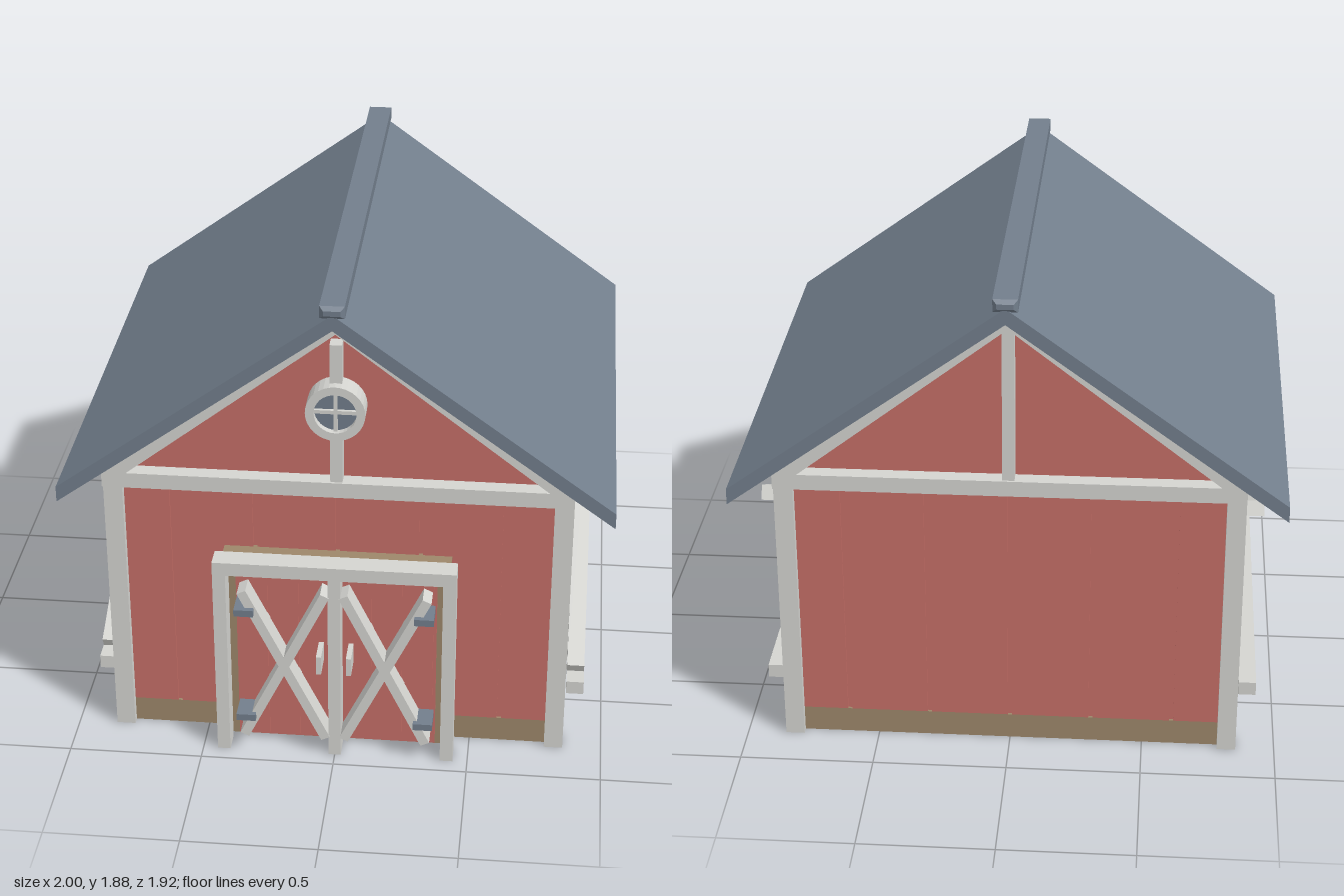
import * as THREE from 'three';

const mat = (name, color) => {
  const m = new THREE.MeshStandardMaterial({ color });
  m.name = name;
  return m;
};

export function createModel() {
  const red = mat('barn red', 0xc56e67);
  const white = mat('trim white', 0xd4d4d0);
  const slate = mat('slate blue', 0x727e8c);
  const brown = mat('wood brown', 0x9d876a);

  const model = new THREE.Group();
  model.name = 'barn';

  const add = (parent, name, geo, material) => {
    const mesh = new THREE.Mesh(geo, material);
    mesh.name = name;
    parent.add(mesh);
    return mesh;
  };
  // Box given by its minimum and maximum on each axis
  const box = (parent, name, material, x0, x1, y0, y1, z0, z1) => {
    const mesh = add(parent, name, new THREE.BoxGeometry(x1 - x0, y1 - y0, z1 - z0), material);
    mesh.position.set((x0 + x1) / 2, (y0 + y1) / 2, (z0 + z1) / 2);
    return mesh;
  };
  const polygon = (pts) => new THREE.Shape(pts.map(([x, y]) => new THREE.Vector2(x, y)));
  const extrude = (shape, z0, z1) =>
    new THREE.ExtrudeGeometry(shape, { depth: z1 - z0, bevelEnabled: false, curveSegments: 16 }).translate(0, 0, z0);

  // Body: base, pentagonal core and corner posts
  const body = new THREE.Group();
  body.name = 'body';
  body.position.z = -0.004;
  model.add(body);
  box(body, 'base', brown, -0.82, 0.82, 0, 0.1, -0.79, 0.79);
  const wall = polygon([[-0.81, 0.1], [0.81, 0.1], [0.81, 1.15], [0, 1.76], [-0.81, 1.15]]);
  add(body, 'wallCore', extrude(wall, -0.78, 0.78), red);
  for (const sx of [-1, 1]) for (const sz of [-1, 1]) {
    const post = box(body, 'cornerPost', white, -0.035, 0.035, 0, 1.1, -0.04, 0.04);
    post.position.x = sx * 0.82;
    post.position.z = sz * 0.78;
  }

  // Wall planks with narrow gaps
  const gap = 0.016;
  for (let i = 0; i < 6; i++) {
    const x = -0.915 + i * 0.305;
    const x0 = Math.max(x + gap / 2, -0.8), x1 = Math.min(x + 0.305 - gap / 2, 0.8);
    for (const s of [-1, 1])
      box(body, 'endPlank', red, x0, x1, 0.1, 1.08, s > 0 ? 0.77 : -0.79, s > 0 ? 0.79 : -0.77);
  }
  for (let i = 0; i < 10; i++) {
    const z = -0.7225 + i * 0.1445;
    const z0 = i === 0 ? -0.76 : z + gap / 2, z1 = i === 9 ? 0.76 : z + 0.1445 - gap / 2;
    for (const s of [-1, 1])
      box(body, 'sidePlank', red, s > 0 ? 0.8 : -0.82, s > 0 ? 0.82 : -0.8, 0.1, 1.14, z0, z1);
  }

  // Rail and diagonal brace on both sides
  const dz = 1.363, dy = 0.701;
  for (const s of [-1, 1]) {
    const rail = box(body, 'sideRail', white, -0.0325, 0.0325, 0.2, 0.253, -0.745, 0.745);
    rail.position.x = s * 0.892;
    const brace = add(body, 'sideBrace', new THREE.BoxGeometry(0.064, 0.056, Math.hypot(dz, dy)), white);
    brace.position.set(s * 0.892, 0.616, -0.004);
    brace.rotation.x = Math.atan2(dy, dz);
  }

  // Gable trim, front and back
  for (const turn of [0, Math.PI]) {
    const gable = new THREE.Group();
    gable.name = turn ? 'backGable' : 'frontGable';
    gable.rotation.y = turn;
    body.add(gable);
    const frame = polygon([[-0.855, 1.065], [0.855, 1.065], [0.855, 1.135], [0, 1.783], [-0.855, 1.135]]);
    frame.holes.push(polygon([[-0.765, 1.125], [0, 1.72], [0.765, 1.125]]));
    add(gable, 'gableFrame', extrude(frame, 0.77, 0.84), white);
    box(gable, 'kingPost', white, -0.022, 0.022, 1.12, turn ? 1.72 : 1.675, 0.77, 0.832);
  }

  // Round gable window
  const windowGroup = new THREE.Group();
  windowGroup.name = 'roundWindow';
  windowGroup.position.y = 1.42;
  body.add(windowGroup);
  const ring = new THREE.Shape().absarc(0, 0, 0.107, 0, Math.PI * 2);
  ring.holes.push(new THREE.Path().absarc(0, 0, 0.076, 0, Math.PI * 2, true));
  add(windowGroup, 'windowRing', extrude(ring, 0.78, 0.865), white);
  const pane = add(windowGroup, 'windowPane', new THREE.CylinderGeometry(0.08, 0.08, 0.06, 24), slate);
  pane.rotation.x = Math.PI / 2;
  pane.position.z = 0.81;
  box(windowGroup, 'windowBar', white, -0.007, 0.007, -0.078, 0.078, 0.83, 0.852);
  box(windowGroup, 'windowBar', white, -0.078, 0.078, -0.007, 0.007, 0.83, 0.852);

  // Roof slabs and bevelled ridge cap
  const roof = polygon([[-1, 1.055], [0, 1.785], [1, 1.055], [1, 1.115], [0, 1.845], [-1, 1.115]]);
  add(model, 'roof', extrude(roof, -0.952, 0.94), slate);
  const cap = polygon([[-0.03, 1.845], [0.03, 1.845], [0.03, 1.864], [-0.03, 1.864]]);
  const capGeo = new THREE.ExtrudeGeometry(cap, {
    depth: 1.882, bevelThickness: 0.014, bevelSize: 0.014, bevelSegments: 1,
  });
  add(model, 'ridgeCap', capGeo.translate(0, 0, -0.946), slate);

  // Double door: backing, frame and two leaves
  const door = new THREE.Group();
  door.name = 'door';
  model.add(door);
  box(door, 'doorBacking', brown, -0.42, 0.42, 0.012, 0.81, 0.77, 0.848);
  box(door, 'doorLintel', white, -0.445, 0.445, 0.775, 0.828, 0.858, 0.94);
  box(door, 'doorCenterPost', white, -0.023, 0.023, 0, 0.775, 0.848, 0.94);
  for (const s of [-1, 1]) {
    const at = (name, material, x0, x1, ...rest) =>
      box(door, name, material, Math.min(s * x0, s * x1), Math.max(s * x0, s * x1), ...rest);
    at('doorPost', white, 0.397, 0.445, 0, 0.775, 0.858, 0.94);
    at('doorLeaf', red, 0.015, 0.372, 0.016, 0.768, 0.84, 0.853);
    for (let i = 0; i < 3; i++) {
      const x = 0.02 + i * 0.115;
      at('doorPlank', red, x + 0.005, x + 0.11, 0.03, 0.755, 0.85, 0.862);
    }
    for (const d of [-1, 1]) {
      const bar = add(door, 'doorBrace', new THREE.BoxGeometry(0.036, 0.705, 0.084), white);
      bar.position.set(s * 0.187, 0.39, 0.9);
      bar.rotation.z = d * Math.atan2(0.307, 0.636);
    }
    at('doorHandle', white, 0.046, 0.065, 0.38, 0.455, 0.862, 0.964);
    for (const y of [0.15, 0.615]) at('doorHinge', slate, 0.295, 0.367, y, y + 0.027, 0.862, 0.962);
  }
  return model;
}
